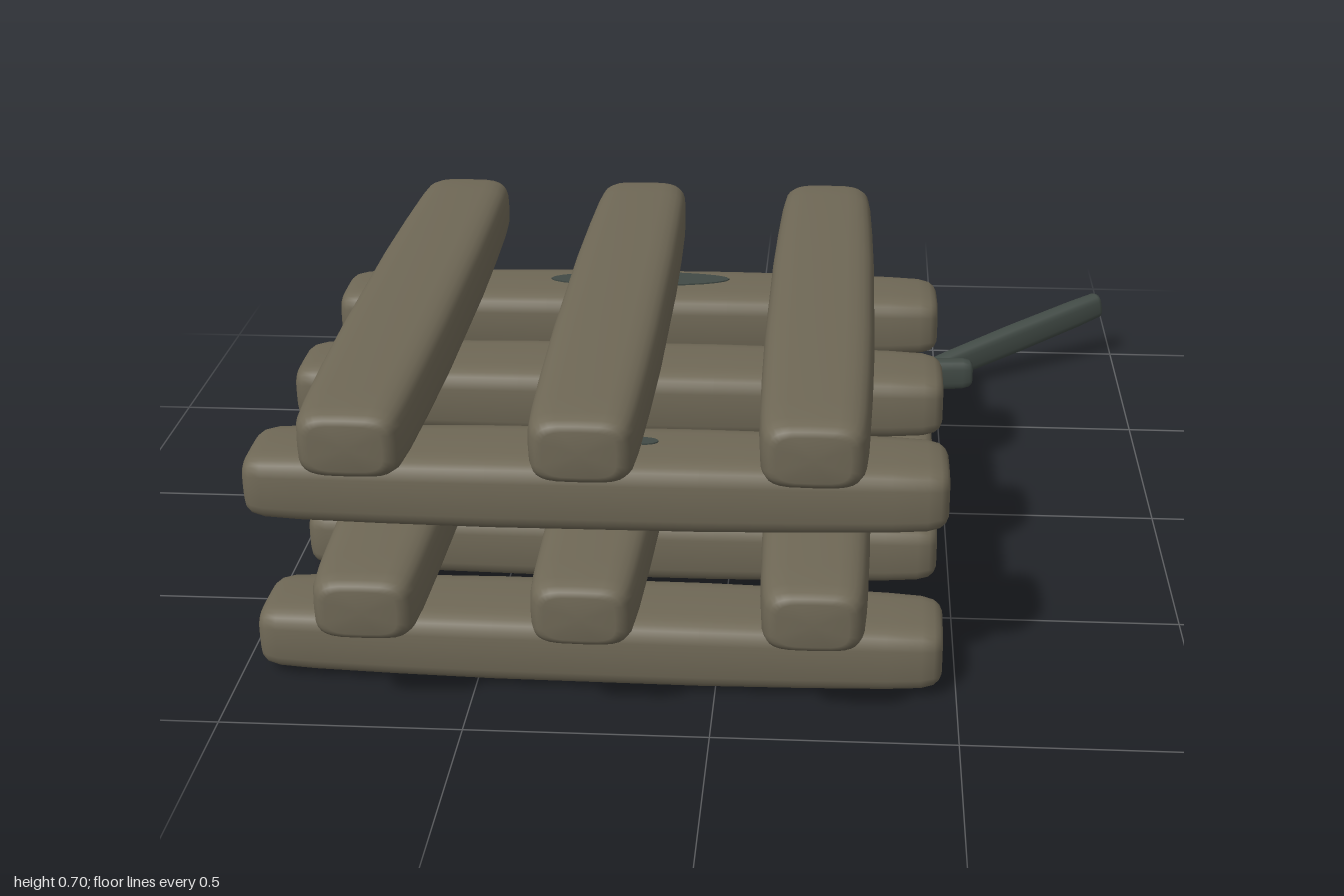
import * as THREE from 'three';

// Loft of rounded-rectangle sections along x, centred on the origin.
// Each profile row: [position along length 0..1, width factor, height factor]
function loft(length, height, width, profile, power = 4, sides = 28) {
  const pos = [], idx = [];
  const round = v => Math.sign(v) * Math.pow(Math.abs(v), 2 / power);
  for (const [t, w, h] of profile) {
    for (let i = 0; i < sides; i++) {
      const a = (i / sides) * Math.PI * 2;
      pos.push((t - 0.5) * length, round(Math.sin(a)) * h * height / 2, round(Math.cos(a)) * w * width / 2);
    }
  }
  const rows = profile.length;
  for (let r = 0; r < rows - 1; r++) {
    for (let i = 0; i < sides; i++) {
      const a = r * sides + i, b = r * sides + (i + 1) % sides;
      idx.push(a, a + sides, b, b, a + sides, b + sides);
    }
  }
  // End caps
  const c0 = pos.length / 3, last = (rows - 1) * sides;
  pos.push(-length / 2, 0, 0, length / 2, 0, 0);
  for (let i = 0; i < sides; i++) {
    const j = (i + 1) % sides;
    idx.push(c0, i, j, c0 + 1, last + j, last + i);
  }
  const g = new THREE.BufferGeometry();
  g.setAttribute('position', new THREE.Float32BufferAttribute(pos, 3));
  g.setIndex(idx);
  g.computeVertexNormals();
  return g;
}

// Mirror half a profile around the middle of the length
const mirrored = half => [...half, ...half.slice(0, -1).reverse().map(([t, w, h]) => [1 - t, w, h])];

const beamProfile = mirrored([
  [0, 0.62, 0.6], [0.004, 0.74, 0.72], [0.012, 0.83, 0.82], [0.03, 0.89, 0.89],
  [0.08, 0.93, 0.93], [0.2, 0.97, 0.97], [0.35, 1, 1], [0.5, 1, 1],
]);
const barProfile = mirrored([
  [0, 0.55, 0.6], [0.006, 0.75, 0.78], [0.02, 0.86, 0.88], [0.15, 0.94, 0.95], [0.5, 1, 1],
]);

export function createModel() {
  const model = new THREE.Group();
  model.name = 'stackedTimber';
  const wood = new THREE.MeshStandardMaterial({ color: 0x6f6856 });
  wood.name = 'weathered wood';
  const dark = new THREE.MeshStandardMaterial({ color: 0x414a45 });
  dark.name = 'dark grey green';

  // Four crossed layers of three beams
  const beamGeometry = loft(1.43, 0.16, 0.232, beamProfile);
  const across = [-0.17, 0.28, 0.73];
  const along = [-0.695, -0.25, 0.2];
  const yaw = [
    [0.012, 0, -0.012],
    [0.006, -0.008, 0.006],
    [0.018, 0.006, 0.008],
    [0, 0.006, 0],
  ];
  for (let layer = 0; layer < 4; layer++) {
    const row = new THREE.Group();
    row.name = 'beamLayer' + (layer + 1);
    for (let i = 0; i < 3; i++) {
      const beam = new THREE.Mesh(beamGeometry, wood);
      beam.name = 'beam';
      const y = 0.09 + layer * 0.18;
      if (layer % 2 === 0) {
        beam.position.set(-0.245, y, across[i]);
        beam.rotation.y = yaw[layer][i];
      } else {
        beam.position.set(along[i], y, 0.28);
        beam.rotation.y = Math.PI / 2 + yaw[layer][i];
      }
      row.add(beam);
    }
    model.add(row);
  }

  // Dark patches showing on the third layer
  const addPatch = (name, x, z, length, width, turn) => {
    const patch = new THREE.Mesh(new THREE.CylinderGeometry(1, 1, 1, 24), dark);
    patch.name = name;
    patch.scale.set(length / 2, 0.008, width / 2);
    patch.position.set(x, 0.529, z);
    patch.rotation.y = turn;
    model.add(patch);
  };
  addPatch('darkPatch', -0.245, -0.18, 0.43, 0.085, 0.04);
  addPatch('smallDarkPatch', -0.15, 0.72, 0.06, 0.03, 0);

  // Bent bar lying behind the stack
  const bar = new THREE.Group();
  bar.name = 'bentBar';
  const addBar = (name, from, to, height, width) => {
    const a = new THREE.Vector3(...from), b = new THREE.Vector3(...to);
    const d = b.clone().sub(a);
    const mesh = new THREE.Mesh(loft(d.length(), height, width, barProfile, 3, 20), dark);
    mesh.name = name;
    mesh.position.copy(a).add(b).multiplyScalar(0.5);
    mesh.rotation.order = 'YZX';
    mesh.rotation.y = Math.atan2(-d.z, d.x);
    mesh.rotation.z = Math.atan2(d.y, Math.hypot(d.x, d.z));
    bar.add(mesh);
  };
  addBar('barShaft', [-0.735, 0.057, -0.588], [0.597, 0.057, -0.738], 0.095, 0.06);
  addBar('barTip', [0.465, 0.052, -0.725], [0.957, 0.168, -0.986], 0.08, 0.052);
  model.add(bar);

  return model;
}
